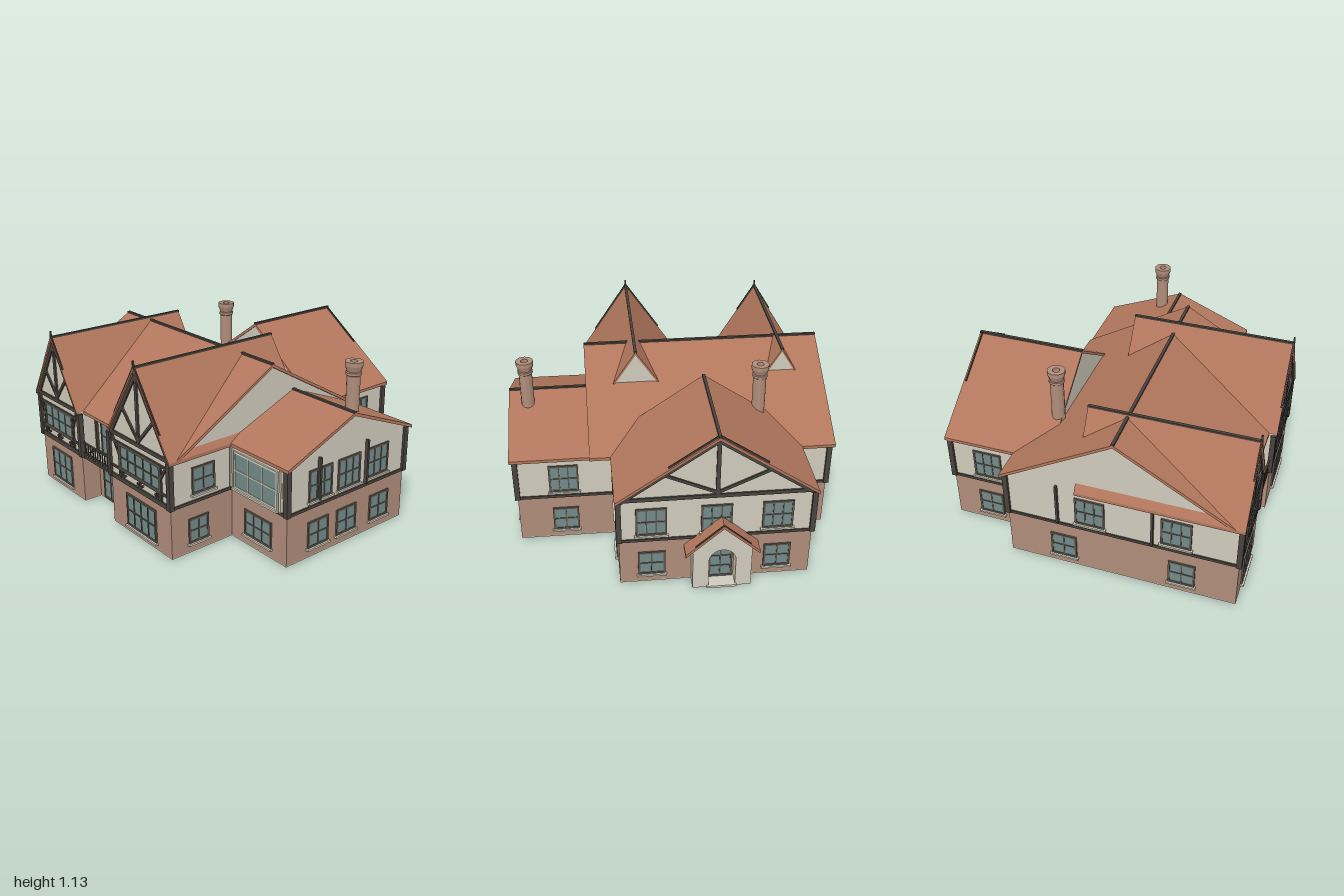
import * as THREE from 'three';

const mat = (name, color) => {
  const m = new THREE.MeshStandardMaterial({ color });
  m.name = name;
  return m;
};

export function createModel() {
  const house = new THREE.Group();
  house.name = 'house';
  const tile = mat('roofTile', 0xb2775d), cream = mat('creamRender', 0xd0cbbc), brick = mat('brick', 0xb08d7a);
  const timber = mat('darkTimber', 0x48433d), glass = mat('windowGlass', 0x738b89), frame = mat('windowFrame', 0x5e564c);

  const add = (parent, name, geo, m) => {
    const mesh = new THREE.Mesh(geo, m);
    mesh.name = name;
    parent.add(mesh);
    return mesh;
  };
  const box = (parent, name, m, w, h, d, x, y, z) => {
    const b = add(parent, name, new THREE.BoxGeometry(w, h, d), m);
    b.position.set(x, y, z);
    return b;
  };
  // A flat beam between two points on a wall plane
  const beam = (parent, name, x1, y1, x2, y2, w = 0.014, d = 0.014, z = 0.003) => {
    const b = box(parent, name, timber, Math.hypot(x2 - x1, y2 - y1), w, d, (x1 + x2) / 2, (y1 + y2) / 2, z);
    b.rotation.z = Math.atan2(y2 - y1, x2 - x1);
  };
  // A group whose +z is the outward normal of a wall
  const wallGroup = (name, x, z, turn) => {
    const g = new THREE.Group();
    g.name = name;
    g.position.set(x, 0, z);
    g.rotation.y = turn * Math.PI / 2;
    house.add(g);
    return g;
  };
  const polygon = (pts) => new THREE.Shape(pts.map(([x, y]) => new THREE.Vector2(x, y)));
  const extrude = (shape, depth) => new THREE.ExtrudeGeometry(shape, { depth, bevelEnabled: false });

  // ---- Storeys from one footprint (x, z) ----
  const plan = [[-0.97, 0.97], [-0.47, 0.97], [-0.47, 0.85], [-0.12, 0.85], [-0.12, 0.97], [0.49, 0.97], [0.49, 0.53],
    [0.97, 0.53], [0.97, -0.43], [0.37, -0.43], [0.37, -0.9], [-0.77, -0.9], [-0.77, -0.44], [-0.97, -0.44]];
  const storey = (name, y0, y1, m) => {
    const geo = extrude(polygon(plan.map(([x, z]) => [x, -z])), y1 - y0);
    geo.rotateX(-Math.PI / 2);
    add(house, name, geo, m).position.y = y0;
  };
  storey('foundation', 0.006, 0.012, cream);
  storey('groundFloorWalls', 0.012, 0.32, brick);
  storey('upperFloorWalls', 0.32, 0.62, cream);
  plan.forEach(([x, z], i) => {
    const [x2, z2] = plan[(i + 1) % plan.length];
    box(house, 'floorBand', timber, Math.abs(x2 - x) + 0.016, 0.018, Math.abs(z2 - z) + 0.016, (x + x2) / 2, 0.327, (z + z2) / 2);
    box(house, 'cornerPost', timber, 0.032, 0.29, 0.032, x, 0.465, z);
  });

  // ---- Gabled roofs: profile across, extruded along the ridge, over a gable-ended filling ----
  const eave = 0.622, thick = 0.02, overhang = 0.026;
  function gable(name, half, peak, [from, to], [wallFrom, wallTo]) {
    const g = wallGroup(name, 0, 0, 0);
    const cover = polygon([[-half, eave], [-half, eave - thick], [0, peak - thick], [half, eave - thick], [half, eave], [0, peak]]);
    add(g, 'roofTiles', extrude(cover, to - from), tile).position.z = from;
    const w = half - overhang, y = eave + (peak - eave) * overhang / half - 0.007;
    const fill = polygon([[-w, eave - thick], [w, eave - thick], [w, y], [0, peak - 0.007], [-w, y]]);
    add(g, 'gableWall', extrude(fill, wallTo - wallFrom), cream).position.z = wallFrom;
    box(g, 'ridgeCap', timber, 0.018, 0.012, to - from, 0, peak, (from + to) / 2);
    return g;
  }
  const mainRoof = gable('mainRoof', 0.705, 1.03, [-1, 0.515], [-0.97, 0.49]);
  mainRoof.position.z = 0.235;
  const wingRoof = gable('sideWingRoof', 0.507, 0.828, [0.46, 1], [0.46, 0.97]);
  wingRoof.position.z = 0.048;
  for (const roof of [mainRoof, wingRoof]) roof.rotation.y = Math.PI / 2;
  gable('leftFrontRoof', 0.265, 1.05, [0, 0.99], [0.006, 0.97]).position.x = -0.735;
  gable('rightFrontRoof', 0.317, 1.092, [-0.03, 0.99], [-0.024, 0.97]).position.x = 0.198;
  gable('backWingRoof', 0.59, 1.03, [-0.928, -0.24], [-0.9, -0.246]).position.x = -0.2;

  // ---- Timber framing on a gable end; tip = half width of the proud bargeboard ----
  function framing(g, roofHalf, peak, tip, brace) {
    const half = roofHalf - 0.02, slope = (peak - eave) / roofHalf, drop = 0.02 + 0.013 * Math.hypot(1, slope);
    beam(g, 'tieBeam', -half, eave, half, eave, 0.024);
    beam(g, 'kingPost', 0, eave, 0, peak - 0.04, 0.024);
    for (const s of [-1, 1]) {
      beam(g, 'rafter', s * (half - 0.01), peak - drop - slope * (half - 0.01), 0, peak - drop, 0.022);
      beam(g, 'gableBrace', 0, 0.645, s * brace, peak - 0.04 - slope * brace, 0.018);
      beam(g, 'bargeboard', s * tip, peak - slope * tip, 0, peak, 0.018, 0.008, 0.012);
    }
  }
  function frontBay(name, x, roofHalf, peak, tip, brace, win) {
    const g = wallGroup(name, x, 0.97, 0), half = roofHalf - 0.02, post = win + 0.012;
    framing(g, roofHalf, peak, tip, brace);
    box(g, 'finial', timber, 0.01, 0.08, 0.01, 0, peak, 0.014);
    for (const y of [0.57, 0.4, 0.342]) beam(g, 'rail', -half, y, half, y);
    for (const s of [-1, 1]) {
      beam(g, 'windowPost', s * post, 0.34, s * post, 0.57);
      beam(g, 'cornerBrace', s * (half - 0.01), 0.61, s * post, 0.49);
    }
    // Small leaf ornaments under the window
    for (const k of [-1, 0, 1]) {
      const ox = k * win * 0.9;
      beam(g, 'ornamentStem', ox, 0.345, ox, 0.392, 0.012);
      for (const s of [-1, 1]) beam(g, 'ornamentLeaf', ox, 0.355, ox + s * 0.03, 0.375, 0.012);
    }
  }
  frontBay('leftBayTimbers', -0.735, 0.265, 1.05, 0.115, 0.13, 0.17);
  frontBay('rightBayTimbers', 0.198, 0.317, 1.092, 0.225, 0.16, 0.2);
  framing(wallGroup('backGableTimbers', -0.2, -0.9, 2), 0.59, 1.03, 0.28, 0.3);

  // ---- Windows ----
  function windowUnit(g, x, y, w, h, cols, rows, m = frame, sill = true) {
    const u = new THREE.Group();
    u.name = 'window';
    u.position.set(x, y + h / 2, 0);
    g.add(u);
    box(u, 'glass', glass, w, h, 0.008, 0, 0, 0.002);
    const thickness = (i, n) => (i === 0 || i === n ? 0.012 : 0.008);
    for (let i = 0; i <= cols; i++) box(u, 'mullion', m, thickness(i, cols), h + 0.012, 0.014, w * (i / cols - 0.5), 0, 0.003);
    for (let j = 0; j <= rows; j++) box(u, 'transom', m, w + 0.012, thickness(j, rows), 0.014, 0, h * (j / rows - 0.5), 0.003);
    if (sill) box(u, 'sill', cream, w + 0.03, 0.012, 0.03, 0, -h / 2 - 0.012, 0.006);
  }
  // Rows of standard windows, given by their centres along the wall
  function windowWall(name, x, z, turn, upper, lower) {
    const g = wallGroup(name, x, z, turn);
    for (const c of upper) windowUnit(g, c, 0.37, 0.17, 0.18, 3, 2);
    for (const c of lower) windowUnit(g, c, 0.075, 0.15, 0.155, 2, 2);
    return g;
  }
  const rightWall = windowWall('sideWingWindows', 0.97, 0, 1, [-0.28, -0.05, 0.19], [-0.29, -0.06, 0.22]);
  const leftWall = windowWall('mainLeftWindows', -0.97, 0, -1, [0.08, 0.6], [-0.09, 0.64]);
  windowWall('backWingRightWindows', 0.37, 0, 1, [0.66], [0.66]);
  windowWall('backWingLeftWindows', -0.77, 0, -1, [-0.66], [-0.66]);
  windowWall('sideWingBackWindows', 0, -0.43, 2, [-0.68], [-0.68]);
  const backWall = windowWall('backWindows', 0, -0.9, 2, [-0.18, 0.2, 0.56], [-0.18, 0.57]);
  windowUnit(backWall, 0.23, 0.02, 0.13, 0.23, 2, 3, frame, false);

  const mainRight = wallGroup('mainRightWindows', 0.49, 0, 1);
  windowUnit(mainRight, -0.74, 0.38, 0.15, 0.155, 2, 2);
  windowUnit(mainRight, -0.78, 0.075, 0.13, 0.145, 2, 2);
  const frontWall = wallGroup('frontWindows', 0, 0.97, 0);
  windowUnit(frontWall, -0.73, 0.06, 0.23, 0.2, 3, 2);
  windowUnit(frontWall, 0.195, 0.06, 0.29, 0.2, 4, 2);
  windowUnit(frontWall, -0.735, 0.41, 0.33, 0.15, 4, 2, frame, false);
  windowUnit(frontWall, 0.198, 0.41, 0.4, 0.15, 5, 2, frame, false);
  const centre = wallGroup('centreDoors', -0.295, 0.85, 0);
  for (const y of [0.025, 0.335]) windowUnit(centre, 0, y, 0.225, 0.24, 3, 2, frame, false);
  windowUnit(wallGroup('sideWingFrontWindow', 0.73, 0.53, 0), 0, 0.08, 0.22, 0.15, 3, 2);

  // Pale framed bay on the front of the side wing
  const bay = wallGroup('sideWingBayWindow', 0.73, 0.55, 0);
  box(bay, 'baySurround', cream, 0.44, 0.25, 0.03, 0, 0.475, -0.015);
  windowUnit(bay, 0, 0.36, 0.36, 0.22, 3, 2, cream);
  for (const s of [-1, 1]) box(bay, 'bayEdge', cream, 0.016, 0.25, 0.012, s * 0.21, 0.475, 0.004);

  // Slim posts on the side walls
  for (const x of [-0.295, 0.09]) box(rightWall, 'post', timber, 0.014, 0.28, 0.024, x, 0.48, 0.01);
  for (const x of [-0.12, 0.46]) box(leftWall, 'post', timber, 0.014, 0.28, 0.024, x, 0.48, 0.01);

  // ---- Balcony between the front bays ----
  const balcony = wallGroup('balcony', -0.295, 0.96, 0);
  box(balcony, 'balconyFloor', cream, 0.35, 0.012, 0.11, 0, 0.326, -0.055);
  box(balcony, 'balconyBeam', timber, 0.35, 0.018, 0.012, 0, 0.322, 0);
  for (const y of [0.348, 0.418]) box(balcony, 'handrail', timber, 0.35, 0.01, 0.012, 0, y, 0);
  for (let i = 0; i <= 12; i++) box(balcony, 'baluster', timber, 0.007, 0.09, 0.007, -0.168 + i * 0.028, 0.373, 0);

  // ---- Back porch with an arched opening ----
  const porch = wallGroup('porch', -0.23, -0.9, 2);
  const front = polygon([[-0.175, 0], [0.175, 0], [0.175, 0.29], [0, 0.45], [-0.175, 0.29]]);
  const arch = new THREE.Path();
  arch.moveTo(-0.08, 0.012);
  arch.lineTo(-0.08, 0.2);
  arch.absarc(0, 0.2, 0.08, Math.PI, 0, true);
  arch.lineTo(0.08, 0.012);
  arch.closePath();
  front.holes.push(arch);
  add(porch, 'porchWalls', extrude(front, 0.082), cream);
  add(porch, 'porchRoof', extrude(polygon([[-0.22, 0.27], [-0.22, 0.25], [0, 0.45], [0.22, 0.25], [0.22, 0.27], [0, 0.47]]), 0.1), tile);
  box(porch, 'porchStep', cream, 0.18, 0.014, 0.095, 0, 0.007, 0.0475);
  for (const s of [-1, 1]) beam(porch, 'porchBargeboard', s * 0.16, 0.324, 0, 0.469, 0.012, 0.008, 0.094);

  // ---- Chimneys: faceted stacks with flared hollow caps ----
  function chimney(name, x, z, base, top) {
    const profile = [[0.041, base], [0.041, top - 0.085], [0.047, top - 0.08], [0.047, top - 0.065], [0.042, top - 0.06],
      [0.054, top - 0.025], [0.054, top], [0.022, top], [0.022, top - 0.03]];
    const geo = new THREE.LatheGeometry(profile.map(([r, y]) => new THREE.Vector2(r, y)), 12).toNonIndexed();
    geo.computeVertexNormals();
    const g = wallGroup(name, x, z, 0);
    add(g, 'stack', geo, brick);
    const flue = add(g, 'flue', new THREE.CircleGeometry(0.023, 12), timber);
    flue.rotation.x = -Math.PI / 2;
    flue.position.y = top - 0.028;
  }
  chimney('leftChimney', -0.54, -0.27, 0.72, 1.103);
  chimney('rightChimney', 0.88, -0.052, 0.74, 1.083);

  return house;
}
